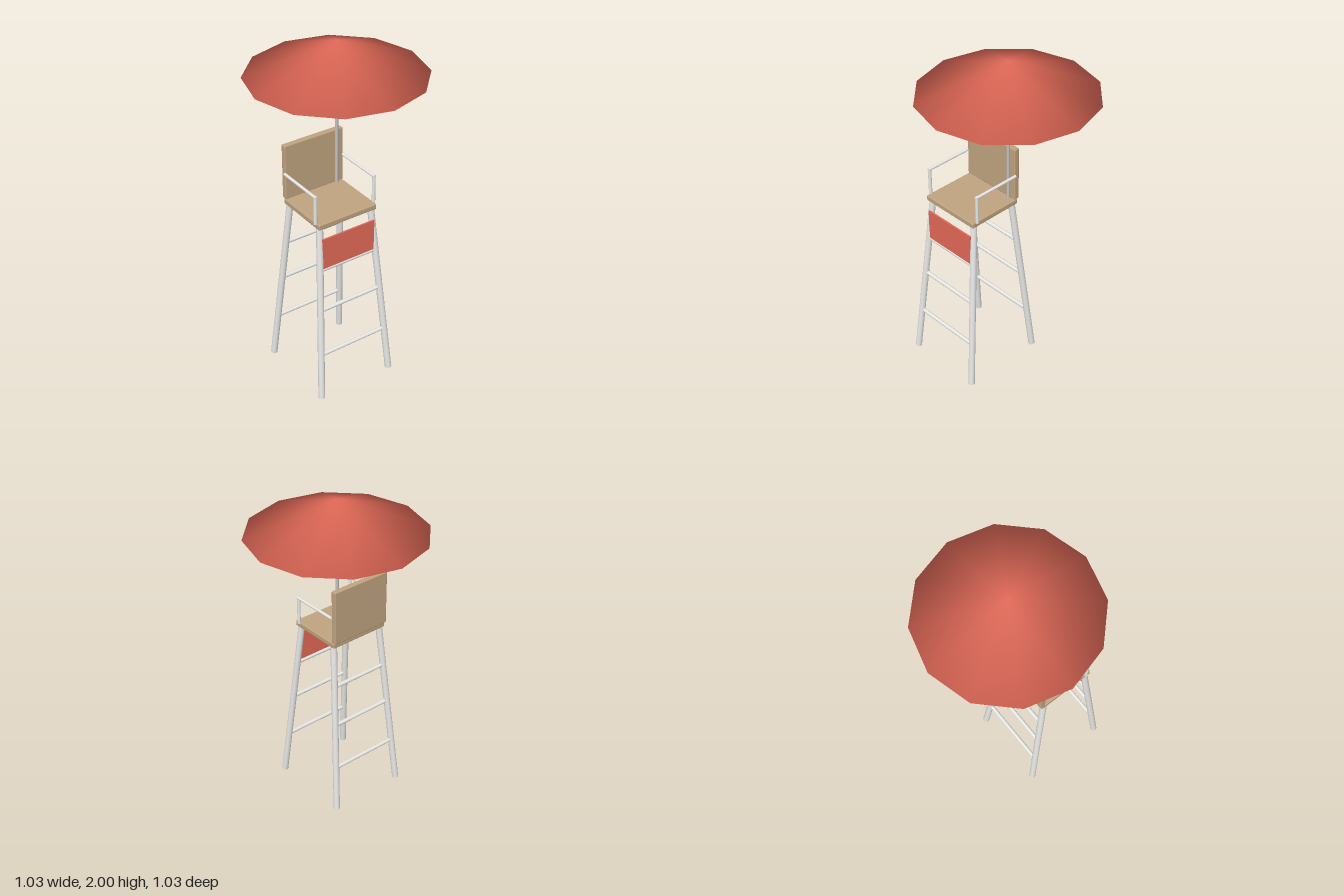
import * as THREE from 'three';
import { RoundedBoxGeometry } from 'three/addons/geometries/RoundedBoxGeometry.js';
import { mergeVertices } from 'three/addons/utils/BufferGeometryUtils.js';

const mat = (name, color) => {
  const m = new THREE.MeshStandardMaterial({ color });
  m.name = name;
  return m;
};

export function createModel() {
  const white = mat('white paint', 0xe8e8e6);
  const metal = mat('grey metal', 0xc0c2c6);
  const wood = mat('tan wood', 0xc1a480);
  const red = mat('red', 0xe46a58);

  const model = new THREE.Group();
  model.name = 'lifeguardChair';
  // The chair stands to one side so that the parasol pole is at the origin
  const chair = new THREE.Group();
  chair.name = 'chair';
  chair.position.set(-0.145, 0, 0.145);
  model.add(chair);

  const add = (parent, name, geometry, material, x = 0, y = 0, z = 0) => {
    const mesh = new THREE.Mesh(geometry, material);
    mesh.name = name;
    mesh.position.set(x, y, z);
    parent.add(mesh);
    return mesh;
  };

  // Round bar between two points
  const bar = (parent, name, a, b, radius, material) => {
    const from = new THREE.Vector3(...a), to = new THREE.Vector3(...b);
    const dir = to.clone().sub(from);
    const mesh = add(parent, name, new THREE.CylinderGeometry(radius, radius, dir.length(), 12), material);
    mesh.position.copy(from).add(to).multiplyScalar(0.5);
    mesh.quaternion.setFromUnitVectors(new THREE.Vector3(0, 1, 0), dir.normalize());
    return mesh;
  };

  // Splayed legs
  for (const sx of [-1, 1]) {
    for (const sz of [-1, 1]) {
      bar(chair, sz > 0 ? 'frontLeg' : 'backLeg',
        [sx * 0.24, 0.003, sz * 0.255], [sx * 0.17, 1.094, sz * 0.145], 0.0195, white);
    }
  }

  // Rungs on the front and back
  for (const y of [0.29, 0.577, 0.83]) {
    const t = y / 1.094;
    const x = 0.24 - 0.07 * t, z = 0.255 - 0.11 * t;
    for (const s of [-1, 1]) {
      bar(chair, s > 0 ? 'frontRung' : 'backRung', [-x, y, s * z], [x, y, s * z], 0.012, white);
    }
  }

  // Seat, backrest and front board
  add(chair, 'seat', new RoundedBoxGeometry(0.384, 0.034, 0.344, 2, 0.007), wood, 0, 1.108, 0);
  add(chair, 'backrest', new RoundedBoxGeometry(0.384, 0.335, 0.034, 2, 0.006), wood, 0, 1.293, -0.168);
  add(chair, 'frontBoard', new THREE.BoxGeometry(0.344, 0.195, 0.01), red, 0, 0.932, 0.175);

  // Armrests
  for (const s of [-1, 1]) {
    const x = s * 0.193;
    bar(chair, 'armPost', [x, 1.12, 0.14], [x, 1.293, 0.14], 0.01, white);
    bar(chair, 'armRail', [x, 1.287, 0.148], [x, 1.287, -0.155], 0.009, white);
  }

  // Parasol: a closed cone, shaded smoothly across its rim
  bar(model, 'parasolPole', [0, 1.12, 0], [0, 1.9, 0], 0.0095, metal);
  let canopy = new THREE.ConeGeometry(0.513, 0.2, 12);
  canopy.deleteAttribute('normal');
  canopy.deleteAttribute('uv');
  canopy = mergeVertices(canopy, 1e-4);
  canopy.clearGroups();
  canopy.computeVertexNormals();
  add(model, 'parasolCanopy', canopy, red, 0, 1.9, 0);

  return model;
}
